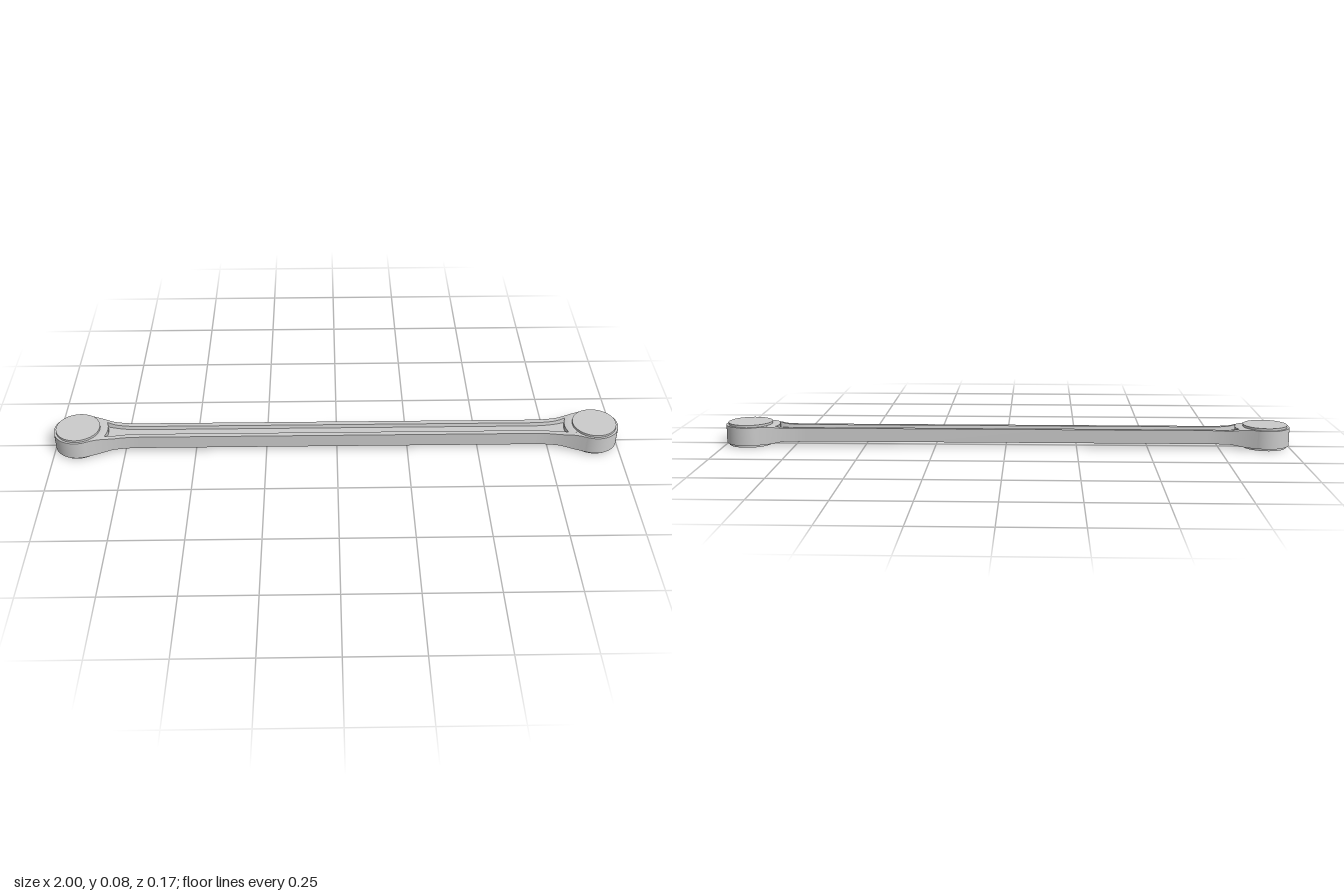
import * as THREE from 'three';
import { toCreasedNormals } from 'three/addons/utils/BufferGeometryUtils.js';

const MID = 0.04;                 // height of the mid plane
const EYE_X = 0.915, EYE_R = 0.085;
const HALF_W = 0.04;              // beam half width
const FLARE_X = 0.7, FLARE_R = 0.451; // fillet from beam to eye
const DIST = Math.hypot(EYE_X - FLARE_X, HALF_W + FLARE_R);
const PHI_END = Math.atan2(EYE_X - FLARE_X, HALF_W + FLARE_R);
const GROOVE_R = 0.105;           // groove stops this far from the eye centre

// Beam half width on the fillet at distance r from the eye centre
function halfWidth(r) {
  const c = (DIST * DIST + FLARE_R * FLARE_R - r * r) / (2 * DIST * FLARE_R);
  const phi = PHI_END - Math.acos(Math.min(1, c));
  return HALF_W + FLARE_R * (1 - Math.cos(phi));
}

// One grooved cross-section, bent into an arc around the eye centre
function section(r, grooved, side) {
  const w = halfWidth(r), g = w - 0.018, k = g - 0.003;
  const t = THREE.MathUtils.clamp((0.14 - r) / (0.14 - EYE_R), 0, 1);
  const h = 0.024 + 0.008 * t * t * (3 - 2 * t);
  const f = grooved ? 0.012 : h;
  const top = [[w, h], [g, h], [k, f], [k / 2, f], [0, f], [-k / 2, f], [-k, f], [-g, h], [-w, h]];
  const loop = [...top, ...top.map(([z, y]) => [z, -y]).reverse()];
  return loop.map(([z, y]) => new THREE.Vector3(side * (EYE_X - Math.sqrt(r * r - z * z)), MID + y, z));
}

function beamGeometry() {
  // Stations from the eye outwards, doubled where the groove begins
  const stations = [0.0851, 0.088, 0.092, 0.098, GROOVE_R].map(r => [r, false]);
  const far = Math.hypot(EYE_X - FLARE_X, HALF_W);
  for (let i = 0; i <= 14; i++) stations.push([GROOVE_R + (far - GROOVE_R) * i / 14, true]);
  const rings = [
    ...stations.map(([r, gr]) => section(r, gr, -1)),
    ...[...stations].reverse().map(([r, gr]) => section(r, gr, 1)),
  ];
  const pos = [];
  const tri = (a, b, c) => {
    const area = b.clone().sub(a).cross(c.clone().sub(a)).length();
    if (area > 1e-10) for (const p of [a, b, c]) pos.push(p.x, p.y, p.z);
  };
  for (let i = 0; i < rings.length - 1; i++) {
    const n = rings[i].length;
    for (let j = 0; j < n; j++) {
      const a = rings[i][j], b = rings[i][(j + 1) % n];
      const d = rings[i + 1][j], c = rings[i + 1][(j + 1) % n];
      tri(a, d, c);
      tri(a, c, b);
    }
  }
  const geo = new THREE.BufferGeometry();
  geo.setAttribute('position', new THREE.Float32BufferAttribute(pos, 3));
  return toCreasedNormals(geo, 0.5);
}

export function createModel() {
  const model = new THREE.Group();
  model.name = 'connectingRod';
  const material = new THREE.MeshStandardMaterial({ color: 0xcccccc });
  const add = (name, geo, x = 0, y = 0) => {
    const mesh = new THREE.Mesh(geo, material);
    mesh.name = name;
    mesh.position.set(x, y, 0);
    model.add(mesh);
  };

  // Grooved beam flaring into both eyes
  add('beam', beamGeometry());

  // Eye and pin at each end
  for (const [side, label] of [[1, 'left'], [-1, 'right']]) {
    add(label + 'Eye', new THREE.CylinderGeometry(EYE_R, EYE_R, 0.064, 96), side * EYE_X, MID);
    add(label + 'Pin', new THREE.CylinderGeometry(0.077, 0.077, 0.08, 96), side * EYE_X, MID);
  }
  return model;
}
